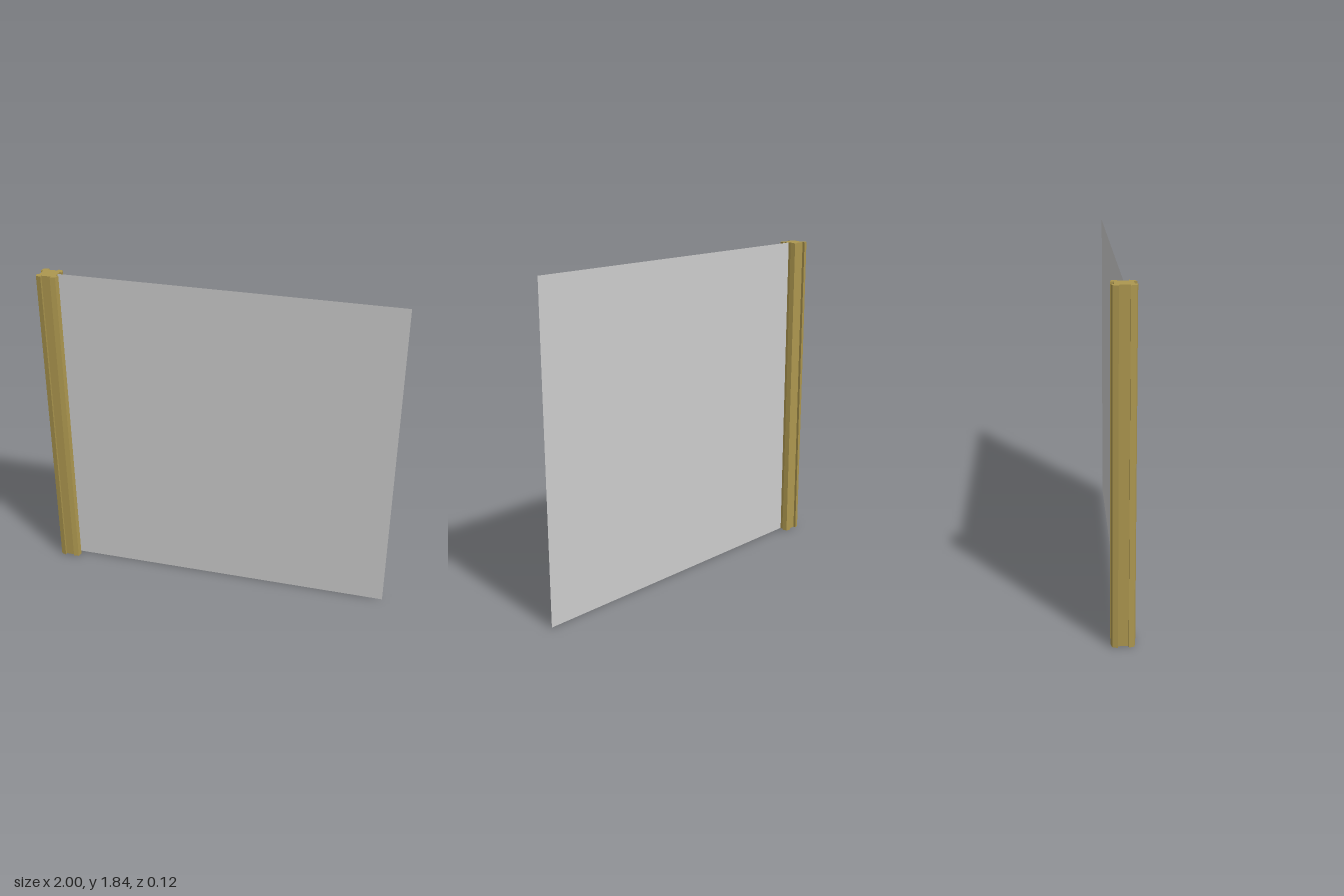
import * as THREE from 'three';

const HEIGHT = 1.84;
const POST_X = -0.938;

// Square post section with a shallow groove along each face and softened corners
function postShape() {
  const corner = [[0.047, 0.027], [0.062, 0.027], [0.055, 0.055], [0.027, 0.062], [0.027, 0.047]];
  const points = [];
  for (let i = 0; i < 4; i++) {
    const centre = new THREE.Vector2();
    for (const [x, y] of corner) {
      points.push(new THREE.Vector2(x, y).rotateAround(centre, i * Math.PI / 2));
    }
  }
  return new THREE.Shape(points);
}

export function createModel() {
  const model = new THREE.Group();
  model.name = 'screenWithPost';

  // Grooved upright post
  const postGeometry = new THREE.ExtrudeGeometry(postShape(), { depth: HEIGHT, bevelEnabled: false });
  postGeometry.rotateX(-Math.PI / 2);
  const post = new THREE.Mesh(
    postGeometry,
    new THREE.MeshStandardMaterial({ color: 0xad974f, flatShading: true })
  );
  post.name = 'post';
  post.position.x = POST_X;
  model.add(post);

  // Thin sheet seated in the post's groove
  const left = POST_X + 0.047;
  const panel = new THREE.Mesh(
    new THREE.PlaneGeometry(1 - left, HEIGHT),
    new THREE.MeshStandardMaterial({ color: 0xcccccc, side: THREE.DoubleSide })
  );
  panel.name = 'panel';
  panel.position.set((1 + left) / 2, HEIGHT / 2, 0);
  model.add(panel);

  return model;
}
